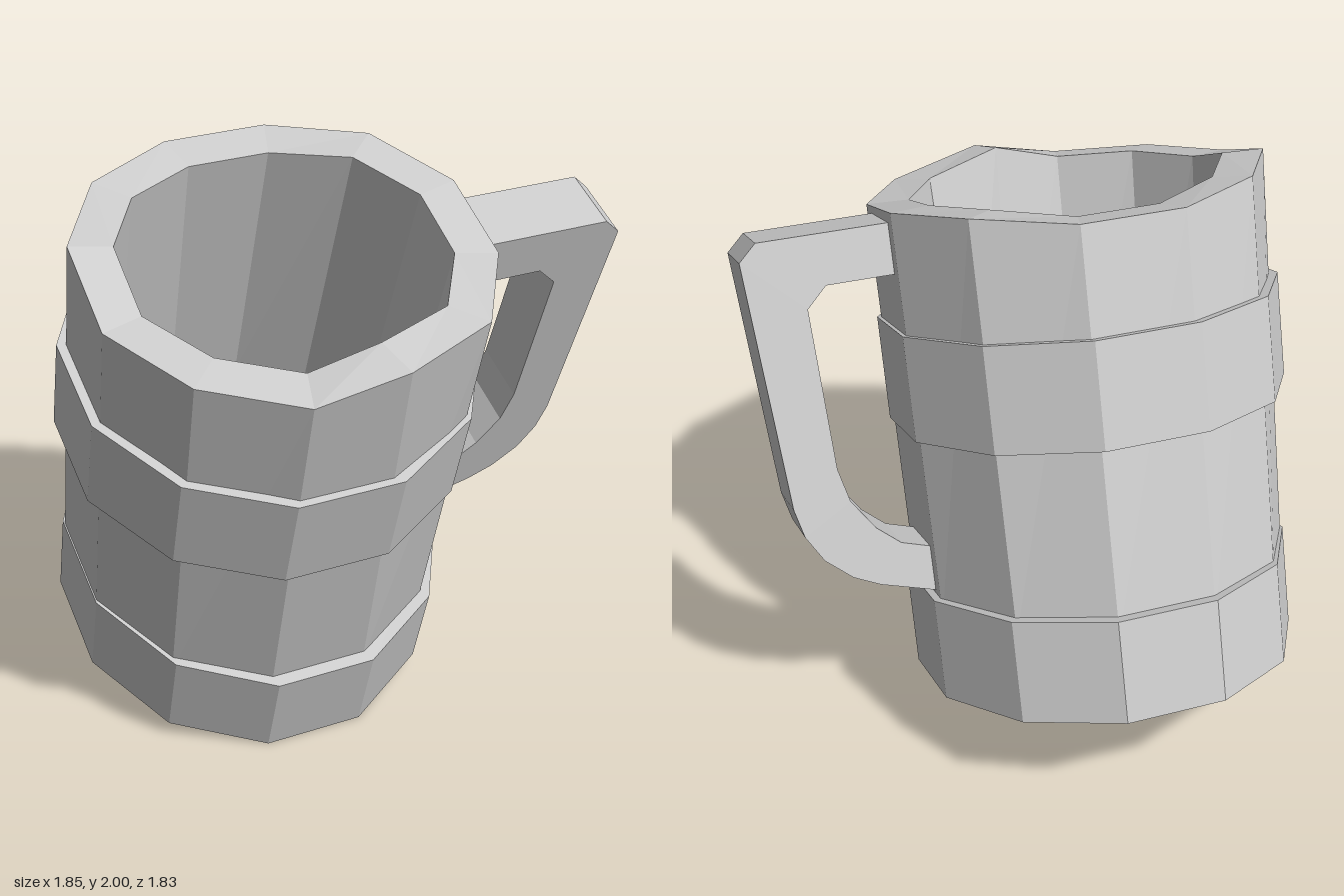
import * as THREE from 'three';

const SIDES = 12;

// One twelve-sided ring: centre x, radius across x, radius across z, height
function ring(cx, rx, rz, h) {
  return Array.from({ length: SIDES }, (_, k) => {
    const a = ((15 + 30 * k) * Math.PI) / 180;
    return [cx + rx * Math.sin(a), h, rz * Math.cos(a)];
  });
}

// Uneven, hand-cut rim: same ring with a height for every corner
const rimHeights = [1.77, 1.715, 1.69, 1.705, 1.7, 1.66, 1.66, 1.695, 1.73, 1.69, 1.705, 1.705];
function rimRing(cx, rx, rz) {
  const points = ring(cx, rx, rz, 0);
  points.forEach((p, k) => { p[1] = rimHeights[k]; });
  points[0][0] -= 0.05;
  return points;
}

// Joins successive rings with flat faces
function loft(rings) {
  const pos = [];
  for (let i = 0; i < rings.length - 1; i++) {
    for (let k = 0; k < SIDES; k++) {
      const n = (k + 1) % SIDES;
      const a = rings[i][k], b = rings[i][n], c = rings[i + 1][n], d = rings[i + 1][k];
      pos.push(...a, ...b, ...c, ...a, ...c, ...d);
    }
  }
  const geo = new THREE.BufferGeometry();
  geo.setAttribute('position', new THREE.Float32BufferAttribute(pos, 3));
  geo.computeVertexNormals();
  return geo;
}

export function createModel() {
  const grey = new THREE.MeshStandardMaterial({ color: 0xcccccc });
  grey.name = 'light grey';
  grey.flatShading = true;

  const mug = new THREE.Group();
  mug.name = 'mug';
  const add = (name, geo) => {
    const mesh = new THREE.Mesh(geo, grey);
    mesh.name = name;
    mug.add(mesh);
    return mesh;
  };

  // Hollow body: outer wall, rim, inner wall, floor
  add('body', loft([
    ring(-0.23, 0.663, 0.688, 0.3),
    rimRing(-0.243, 0.686, 0.662),
    rimRing(-0.245, 0.543, 0.518),
    ring(-0.245, 0.49, 0.518, 0.62),
    ring(-0.245, 0, 0, 0.62),
  ]));

  // Wide foot with a closed underside
  add('baseBand', loft([
    ring(-0.22, 0, 0, 0),
    ring(-0.22, 0.68, 0.732, 0),
    ring(-0.22, 0.68, 0.732, 0.362),
    ring(-0.23, 0.62, 0.64, 0.362),
  ]));

  // Raised band around the middle
  add('middleBand', loft([
    ring(-0.24, 0.62, 0.62, 0.93),
    ring(-0.248, 0.702, 0.696, 0.93),
    ring(-0.248, 0.702, 0.696, 1.295),
    ring(-0.24, 0.62, 0.62, 1.295),
  ]));

  // Handle: outer edge going down, then inner edge going up
  const outline = [
    [0.36, 1.667], [0.86, 1.667], [0.92, 1.61], [0.86, 0.757], [0.835, 0.655],
    [0.78, 0.56], [0.69, 0.48], [0.6, 0.435], [0.36, 0.358],
    [0.36, 0.52], [0.51, 0.57], [0.59, 0.64], [0.665, 0.75], [0.695, 0.87],
    [0.72, 1.425], [0.65, 1.494], [0.36, 1.494],
  ];
  const shape = new THREE.Shape(outline.map(([x, y]) => new THREE.Vector2(x, y)));
  const handle = add('handle', new THREE.ExtrudeGeometry(shape, { depth: 0.23, bevelEnabled: false }));
  handle.position.z = -0.12;

  // The mug leans forward on its front edge
  mug.rotation.x = 0.3174;
  mug.position.set(0, 0.22, -0.24);

  const model = new THREE.Group();
  model.name = 'tiltedMug';
  model.add(mug);
  return model;
}
